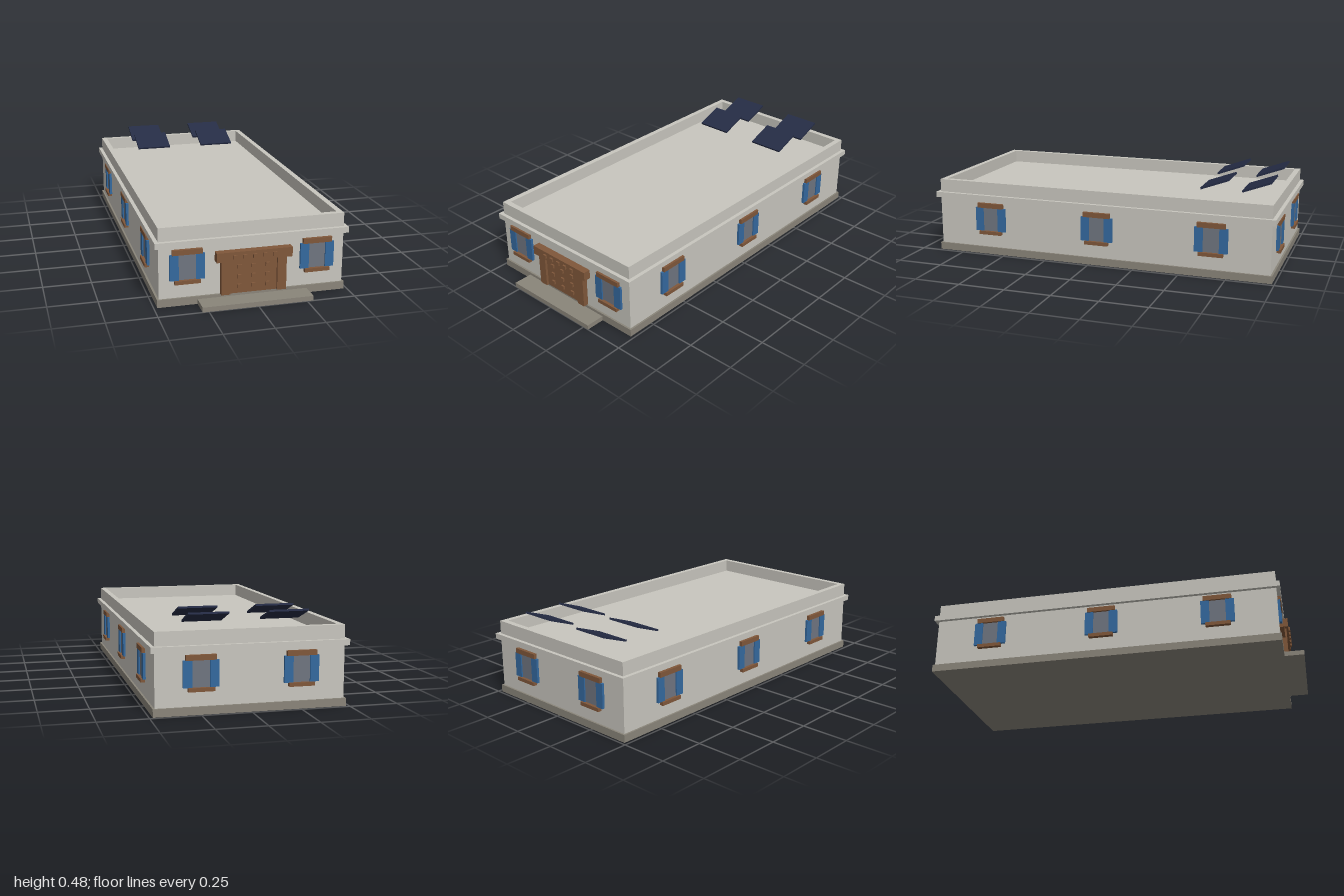
import * as THREE from 'three';

const mat = (name, color) => {
  const m = new THREE.MeshStandardMaterial({ color });
  m.name = name;
  return m;
};

export function createModel() {
  const plaster = mat('plaster', 0xc8c6be);
  const stone = mat('stone', 0x8a857a);
  const wood = mat('wood', 0x80573a);
  const blue = mat('shutterBlue', 0x34699f);
  const glass = mat('glass', 0x6f7580);
  const solar = mat('solarNavy', 0x252c45);

  const model = new THREE.Group();
  model.name = 'house';

  // Box given by its min and max corners
  const box = (parent, name, material, x0, x1, y0, y1, z0, z1) => {
    const mesh = new THREE.Mesh(new THREE.BoxGeometry(x1 - x0, y1 - y0, z1 - z0), material);
    mesh.position.set((x0 + x1) / 2, (y0 + y1) / 2, (z0 + z1) / 2);
    mesh.name = name;
    parent.add(mesh);
    return mesh;
  };

  // Main block: half width, half depth and centre of the walls
  const W = 0.473, D = 0.932, C = -0.045;
  const slab = (name, material, grow, y0, y1) =>
    box(model, name, material, -W - grow, W + grow, y0, y1, C - D - grow, C + D + grow);
  slab('plinth', stone, 0.01, 0, 0.04);
  slab('walls', plaster, 0, 0.04, 0.305);
  slab('cornice', plaster, 0.02, 0.305, 0.335);

  // Parapet ring around the flat roof
  const rect = (path, w, d) =>
    path.moveTo(-w, -d).lineTo(w, -d).lineTo(w, d).lineTo(-w, d).closePath();
  const ring = new THREE.Shape();
  rect(ring, W, D);
  const hole = new THREE.Path();
  rect(hole, W - 0.03, D - 0.03);
  ring.holes.push(hole);
  const parapetGeo = new THREE.ExtrudeGeometry(ring, { depth: 0.07, bevelEnabled: false });
  parapetGeo.rotateX(-Math.PI / 2);
  const parapet = new THREE.Mesh(parapetGeo, plaster);
  parapet.name = 'parapet';
  parapet.position.set(0, 0.335, C);
  model.add(parapet);

  // Entrance step
  box(model, 'step', stone, -0.282, 0.282, 0, 0.025, C + D + 0.01, 1);

  // Shuttered window, facing +z before turning
  const addWindow = (x, z, turn) => {
    const g = new THREE.Group();
    g.name = 'window';
    box(g, 'pane', glass, -0.043, 0.043, 0.133, 0.264, 0, 0.006);
    for (const s of [-1, 1]) {
      const a = s * 0.043, b = s * 0.088;
      box(g, 'shutter', blue, Math.min(a, b), Math.max(a, b), 0.133, 0.264, 0, 0.013);
    }
    box(g, 'windowLintel', wood, -0.075, 0.075, 0.264, 0.29, 0, 0.017);
    box(g, 'windowSill', wood, -0.065, 0.065, 0.114, 0.133, 0, 0.022);
    g.position.set(x, 0, z);
    g.rotation.y = turn;
    model.add(g);
  };
  for (const s of [-1, 1]) {
    addWindow(s * 0.332, C + D, 0);
    addWindow(s * 0.25, C - D, Math.PI);
    for (const k of [-1, 0, 1]) addWindow(s * W, C + k * 0.623, s * Math.PI / 2);
  }

  // Studded door with posts and a heavy lintel
  const door = new THREE.Group();
  door.name = 'door';
  door.position.z = C + D;
  model.add(door);
  box(door, 'doorPanel', wood, -0.12, 0.12, 0.04, 0.215, 0, 0.016);
  box(door, 'doorPost', wood, -0.167, -0.12, 0.04, 0.215, 0, 0.029);
  box(door, 'doorPost', wood, 0.12, 0.167, 0.04, 0.215, 0, 0.029);
  box(door, 'doorLintel', wood, -0.193, 0.193, 0.215, 0.264, 0, 0.039);
  const stud = (x, y, z) =>
    box(door, 'stud', wood, x - 0.01, x + 0.01, y - 0.01, y + 0.01, z, z + 0.009);
  for (const x of [-0.072, 0, 0.072])
    for (const y of [0.078, 0.128, 0.179]) stud(x, y, 0.016);
  for (let i = -2; i <= 2; i++) stud(i * 0.05, 0.239, 0.039);

  // Tilted solar panels
  for (const x of [-0.2, 0.2])
    for (const z of [-0.86, -0.638]) {
      const p = box(model, 'solarPanel', solar, x - 0.1, x + 0.1, 0.445, 0.455, z - 0.08, z + 0.08);
      p.rotation.x = 0.355;
    }

  return model;
}
